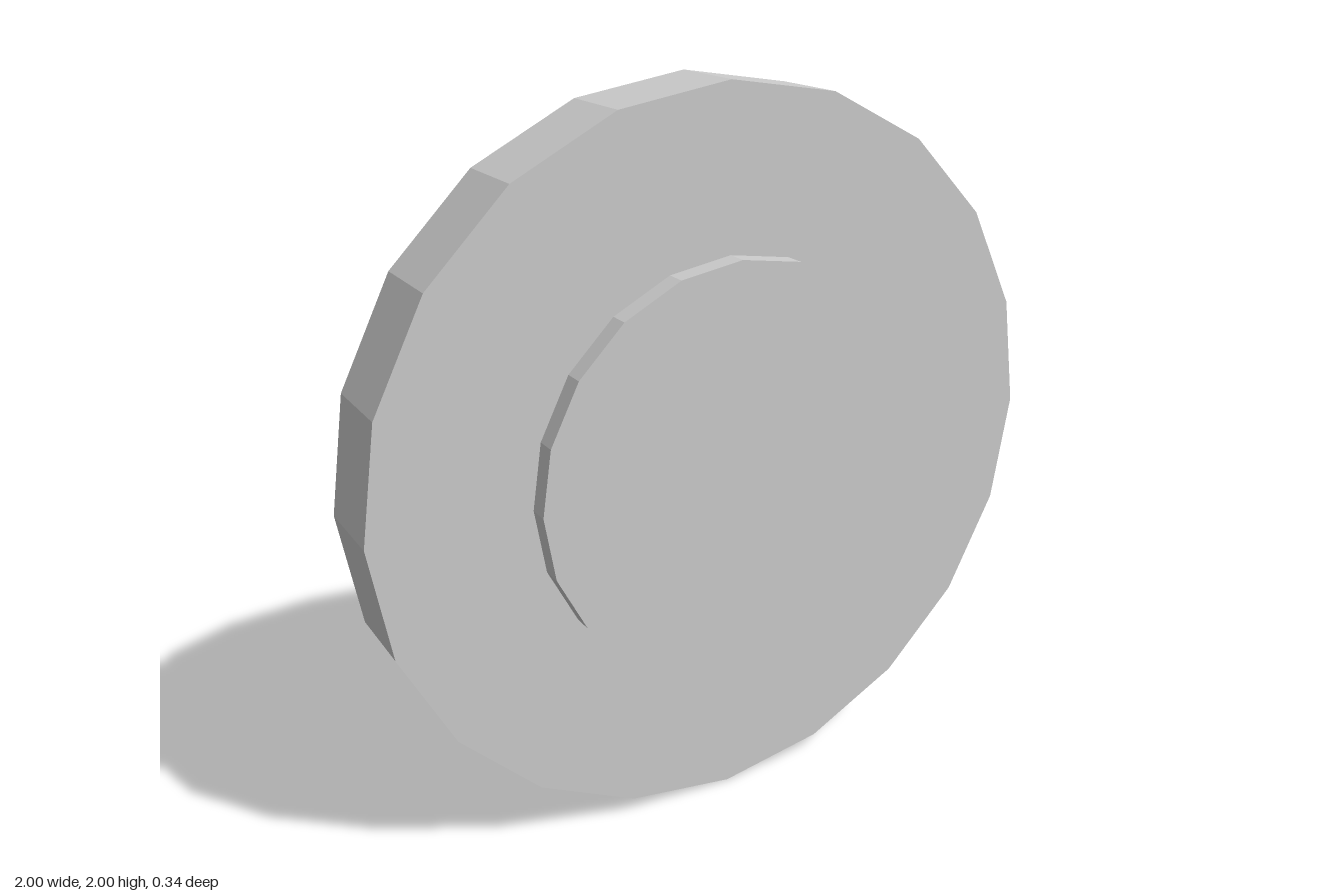
import * as THREE from 'three';

const SIDES = 20;

export function createModel() {
  const group = new THREE.Group();
  group.name = 'wheel';
  const material = new THREE.MeshStandardMaterial({ color: 0xcccccc, flatShading: true });

  // Low-poly disc with its axis along z
  const addDisc = (name, radius, depth, z = 0) => {
    const geometry = new THREE.CylinderGeometry(radius, radius, depth, SIDES);
    geometry.rotateX(Math.PI / 2);
    const mesh = new THREE.Mesh(geometry, material);
    mesh.name = name;
    mesh.position.set(0, 1, z);
    group.add(mesh);
  };

  // Main wheel body
  addDisc('tyre', 1, 0.228);

  // Raised hub running through both faces
  addDisc('hub', 0.57, 0.342);

  return group;
}
